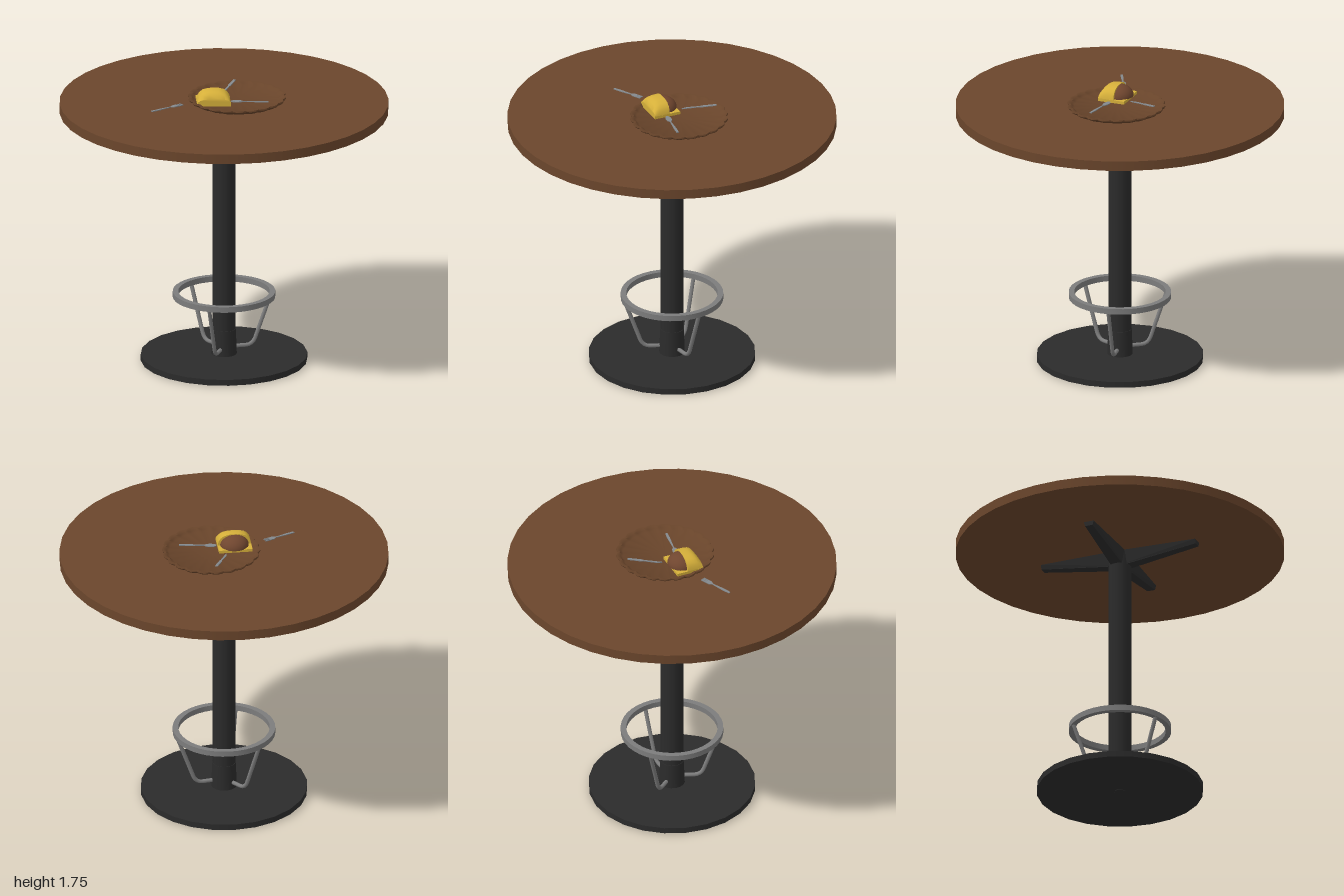
import * as THREE from 'three';
import { toCreasedNormals } from 'three/addons/utils/BufferGeometryUtils.js';

const colour = (name, hex) => {
  const m = new THREE.MeshStandardMaterial({ color: hex });
  m.name = name;
  return m;
};

export function createModel() {
  const group = new THREE.Group();
  const wood = colour('wood', 0x6b462c);
  const black = colour('black metal', 0x2b2b2b);
  const grey = colour('grey metal', 0x7c7c7c);
  const steel = colour('cutlery steel', 0x84898d);
  const yellow = colour('yellow', 0xd6b03a);
  const crust = colour('crust brown', 0x70462f);
  const plateBrown = colour('plate brown', 0x68442a);

  const add = (name, geometry, material, x = 0, y = 0, z = 0) => {
    const mesh = new THREE.Mesh(geometry, material);
    mesh.name = name;
    mesh.position.set(x, y, z);
    group.add(mesh);
    return mesh;
  };
  const polygon = (pts) => new THREE.Shape(pts.map(([x, y]) => new THREE.Vector2(x, y)));
  // Move every vertex of a geometry by a rule
  const reshape = (geometry, rule) => {
    const p = geometry.attributes.position;
    const v = new THREE.Vector3();
    for (let i = 0; i < p.count; i++) {
      rule(v.fromBufferAttribute(p, i));
      p.setXYZ(i, v.x, v.y, v.z);
    }
    geometry.computeVertexNormals();
    return geometry;
  };

  // Top, pedestal and base
  add('tableTop', new THREE.CylinderGeometry(1, 1, 0.06, 40), wood, 0, 1.625, 0);
  add('column', new THREE.CylinderGeometry(0.069, 0.069, 1.56, 24), black, 0, 0.81, 0);
  add('columnSleeve', new THREE.CylinderGeometry(0.072, 0.078, 0.16, 24), black, 0, 0.12, 0);
  add('baseDisc', new THREE.CylinderGeometry(0.507, 0.507, 0.037, 24), black, 0, 0.0215, 0);
  add('baseBolt', new THREE.CylinderGeometry(0.035, 0.035, 0.01, 6), black, 0, 0.005, 0);

  // Four tapering arms below the top
  const armShape = polygon([[0, 1.5], [0.07, 1.505], [0.505, 1.567], [0.505, 1.596], [0, 1.596]]);
  for (let i = 0; i < 4; i++) {
    const g = new THREE.ExtrudeGeometry(armShape, { depth: 0.1, bevelEnabled: false });
    g.translate(0, 0, -0.05);
    reshape(g, (v) => {
      v.z *= 1 - 0.35 * (v.x / 0.505);
      if (v.y < 1.58) v.z *= 0.75; // narrower underside
    });
    add('supportArm', g, black).rotation.y = i * Math.PI / 2;
  }

  // Foot ring: a flat band with a square section
  const band = [[0.278, 0.405], [0.312, 0.405], [0.312, 0.44], [0.278, 0.44], [0.278, 0.405]]
    .map(([x, y]) => new THREE.Vector2(x, y));
  add('footRing', toCreasedNormals(new THREE.LatheGeometry(band, 40), 0.6), grey);

  // Three bent struts holding the ring
  const strut = new THREE.CurvePath();
  const V = (x, y) => new THREE.Vector3(x, y, 0);
  strut.add(new THREE.LineCurve3(V(0.06, 0.083), V(0.135, 0.083)));
  strut.add(new THREE.QuadraticBezierCurve3(V(0.135, 0.083), V(0.178, 0.083), V(0.195, 0.13)));
  strut.add(new THREE.LineCurve3(V(0.195, 0.13), V(0.295, 0.41)));
  for (const deg of [-9, 111, 231]) {
    const g = new THREE.TubeGeometry(strut, 24, 0.0125, 8);
    add('ringStrut', g, grey).rotation.y = -deg * Math.PI / 180;
  }

  // Plate with a scalloped rim
  const plateProfile = [[0, 0], [0.262, 0], [0.288, 0.014], [0.294, 0.022], [0.292, 0.03],
    [0.278, 0.029], [0.268, 0.02], [0.255, 0.012], [0, 0.012]]
    .map(([x, y]) => new THREE.Vector2(x, y));
  const plate = reshape(new THREE.LatheGeometry(plateProfile, 132), (v) => {
    const r = Math.hypot(v.x, v.z);
    if (r < 0.2) return;
    const lobe = Math.abs(Math.sin(11 * Math.atan2(v.z, v.x)));
    const k = 1 + 0.045 * (lobe - 0.55) * (r - 0.2) / 0.1;
    v.x *= k;
    v.z *= k;
  });
  add('plate', toCreasedNormals(plate, 0.7), plateBrown, 0.08, 1.656, -0.01);

  // Food: yellow slab and arched front half, brown dome behind
  add('foodBase', new THREE.BoxGeometry(0.205, 0.018, 0.17), yellow, -0.0675, 1.677, 0.045);
  const arch = polygon([[-0.1025, 0], [0.1025, 0], [0.098, 0.025], [0.085, 0.046],
    [0.065, 0.062], [0.03, 0.071], [-0.03, 0.071], [-0.065, 0.062], [-0.085, 0.046], [-0.098, 0.025]]);
  const loaf = new THREE.ExtrudeGeometry(arch, { depth: 0.1, steps: 6, bevelEnabled: false });
  reshape(loaf, (v) => {
    const t = v.z / 0.1;
    v.y *= 1 - 0.12 * t * t - 0.45 * t ** 6;
  });
  add('foodFront', toCreasedNormals(loaf, 0.7), yellow, -0.0675, 1.684, 0.03);
  const dome = new THREE.SphereGeometry(1, 24, 10, 0, Math.PI * 2, 0, Math.PI / 2);
  add('foodDome', dome, crust, -0.0675, 1.684, 0.031).scale.set(0.088, 0.069, 0.085);

  // Cutlery outlines, handle end at x = 0
  const forkShape = (L) => {
    const s = polygon([[0, -0.007], [0.06, -0.008], [L - 0.08, -0.003], [L - 0.062, -0.015],
      [L, -0.015], [L, -0.009], [L - 0.035, -0.009], [L - 0.035, -0.003], [L, -0.003],
      [L, 0.003], [L - 0.035, 0.003], [L - 0.035, 0.009], [L, 0.009], [L, 0.015],
      [L - 0.062, 0.015], [L - 0.08, 0.003], [0.06, 0.008], [0, 0.007]]);
    return s;
  };
  const spoonShape = (L) => {
    const s = polygon([[0, -0.007], [0.05, -0.008], [L - 0.075, -0.003]]);
    s.absellipse(L - 0.035, 0, 0.037, 0.017, -Math.PI + 0.2, Math.PI - 0.2, false);
    s.lineTo(L - 0.075, 0.003);
    s.lineTo(0.05, 0.008);
    s.lineTo(0, 0.007);
    return s;
  };
  const knifeShape = (L) => polygon([[0, -0.008], [0.085, -0.009], [0.1, -0.004],
    [L - 0.03, -0.007], [L, 0.003], [L, 0.006], [0.1, 0.005], [0.085, 0.009], [0, 0.008]]);

  // Lay a thin outline from its handle end to its tip
  const lay = (name, outline, from, to) => {
    const a = new THREE.Vector3(...from);
    const dir = new THREE.Vector3(...to).sub(a);
    const length = dir.length();
    dir.normalize();
    const side = new THREE.Vector3(0, 1, 0).cross(dir).normalize();
    const up = dir.clone().cross(side);
    const g = new THREE.ExtrudeGeometry(outline(length), { depth: 0.005, bevelEnabled: false });
    g.applyMatrix4(new THREE.Matrix4().makeBasis(dir, side, up).setPosition(a));
    add(name, g, steel);
  };
  lay('fork', forkShape, [-0.45, 1.659, 0.18], [-0.26, 1.668, 0.085]);
  lay('spoon', spoonShape, [0.265, 1.674, 0.083], [0.04, 1.671, 0.052]);
  lay('knife', knifeShape, [0.08, 1.702, -0.26], [-0.01, 1.676, -0.07]);

  return group;
}
